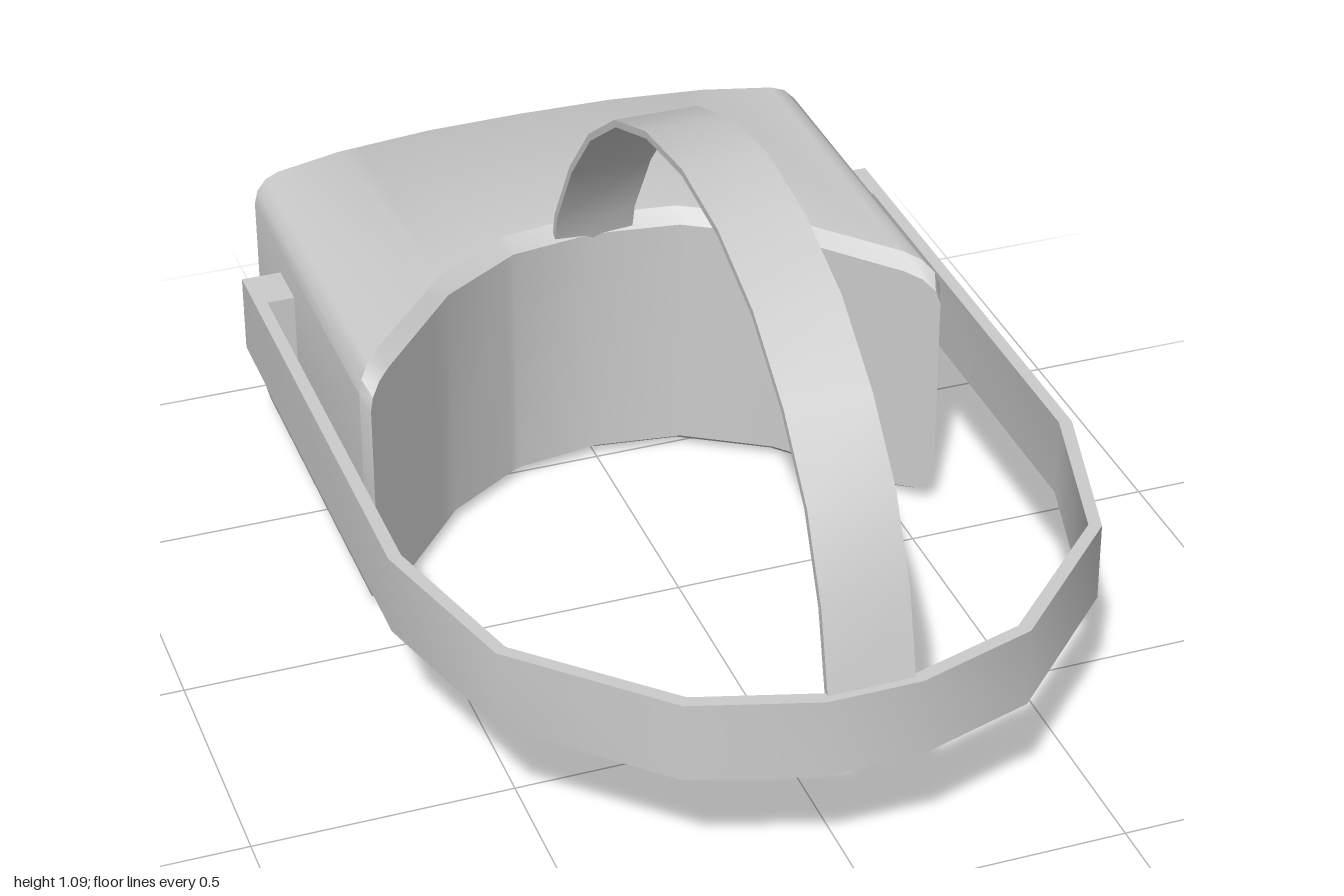
import * as THREE from 'three';
import { toCreasedNormals } from 'three/addons/utils/BufferGeometryUtils.js';

const material = new THREE.MeshStandardMaterial({ color: 0xcccccc });
const HALF_W = 0.595, HALF_H = 0.278, CORNER = 0.055;

function addPart(group, name, geometry) {
  const mesh = new THREE.Mesh(toCreasedNormals(geometry, 0.6), material);
  mesh.name = name;
  group.add(mesh);
}

// Straight interpolation through [x, z] points
function along(points, x) {
  let i = 1;
  while (i < points.length - 1 && x > points[i][0]) i++;
  const [x0, z0] = points[i - 1], [x1, z1] = points[i];
  return z0 + (z1 - z0) * (x - x0) / (x1 - x0);
}

// Rounded box whose two ends follow curves: bulging outside, hollowed face side
function visorGeometry() {
  const outside = [[0, -1], [0.2, -0.995], [0.4, -0.97], [0.595, -0.915]];
  const faceSide = [[0, -0.505], [0.18, -0.48], [0.35, -0.375], [0.595, -0.095]];

  // Columns across the width: [x, half height]
  const right = [0.18, 0.2, 0.35, 0.4].map((x) => [x, HALF_H]);
  for (let k = 3; k >= 0; k--) {
    const a = k * Math.PI / 6;
    right.push([HALF_W - CORNER * (1 - Math.cos(a)), HALF_H - CORNER * (1 - Math.sin(a))]);
  }
  const left = right.map(([x, h]) => [-x, h]).reverse();
  const columns = [...left, [0, HALF_H], ...right];
  const n = columns.length, m = 2 * n;

  // Rings from the outside to the face: [curve, z offset, x inset, y inset]
  const rings = [
    [outside, 0, 0.008, 0.006], [outside, 0.01, 0, 0],
    [faceSide, -0.035, 0, 0], [faceSide, 0, 0.012, 0.025],
  ];
  const positions = [], index = [];
  for (const [curve, dz, insetX, insetY] of rings) {
    const point = ([x, h], side) => positions.push(
      x * (1 - insetX / HALF_W),
      HALF_H + side * h * (1 - insetY / HALF_H),
      along(curve, Math.abs(x)) + dz);
    columns.forEach((c) => point(c, 1));
    [...columns].reverse().forEach((c) => point(c, -1));
  }
  const quad = (a, b, c, d) => index.push(a, b, c, a, c, d);
  for (let r = 0; r < rings.length - 1; r++) {
    for (let i = 0; i < m; i++) {
      const j = (i + 1) % m;
      quad(r * m + i, (r + 1) * m + i, (r + 1) * m + j, r * m + j);
    }
  }
  // End surfaces as vertical strips
  const last = (rings.length - 1) * m;
  for (let i = 0; i < n - 1; i++) {
    const b0 = m - 1 - i, b1 = m - 2 - i;
    quad(i, i + 1, b1, b0);
    quad(last + b0, last + b1, last + i + 1, last + i);
  }
  const geometry = new THREE.BufferGeometry();
  geometry.setAttribute('position', new THREE.Float32BufferAttribute(positions, 3));
  geometry.setIndex(index);
  return geometry;
}

function extrude(points, depth) {
  const shape = new THREE.Shape(points.map(([x, y]) => new THREE.Vector2(x, y)));
  return new THREE.ExtrudeGeometry(shape, { depth, bevelEnabled: false });
}

export function createModel() {
  const group = new THREE.Group();

  addPart(group, 'visor', visorGeometry());

  // Head strap with hooked ends meeting the visor sides, drawn in x and z
  const mirror = (pts) => pts.map(([x, z]) => [-x, z]).reverse();
  const outer = [[0.59, -0.715], [0.675, -0.715], [0.675, 0.33], [0.58, 0.67], [0.325, 0.925], [0.09, 0.998]];
  const inner = [[0.085, 0.972], [0.31, 0.903], [0.558, 0.658], [0.65, 0.325], [0.65, -0.61], [0.59, -0.61]];
  const strap = extrude([...outer, ...mirror(outer), ...mirror(inner), ...inner], 0.16);
  strap.rotateX(Math.PI / 2).translate(0, 0.443, 0);
  addPart(group, 'headStrap', strap);

  // Arched strap over the head, drawn in z and y
  const arch = [
    [0.988, 0.42], [0.945, 0.6], [0.87, 0.76], [0.755, 0.89], [0.605, 1.0], [0.43, 1.066], [0.245, 1.09],
    [0.05, 1.066], [-0.125, 1.0], [-0.28, 0.89], [-0.4, 0.755], [-0.5, 0.595], [-0.527, 0.5],
  ];
  const under = arch.map(([z, y]) => [0.235 + (z - 0.235) * 0.98, 0.4 + (y - 0.4) * 0.98]).reverse();
  const topStrap = extrude([...arch, ...under], 0.164);
  topStrap.rotateY(-Math.PI / 2).translate(0.082, 0, 0);
  addPart(group, 'topStrap', topStrap);

  return group;
}
